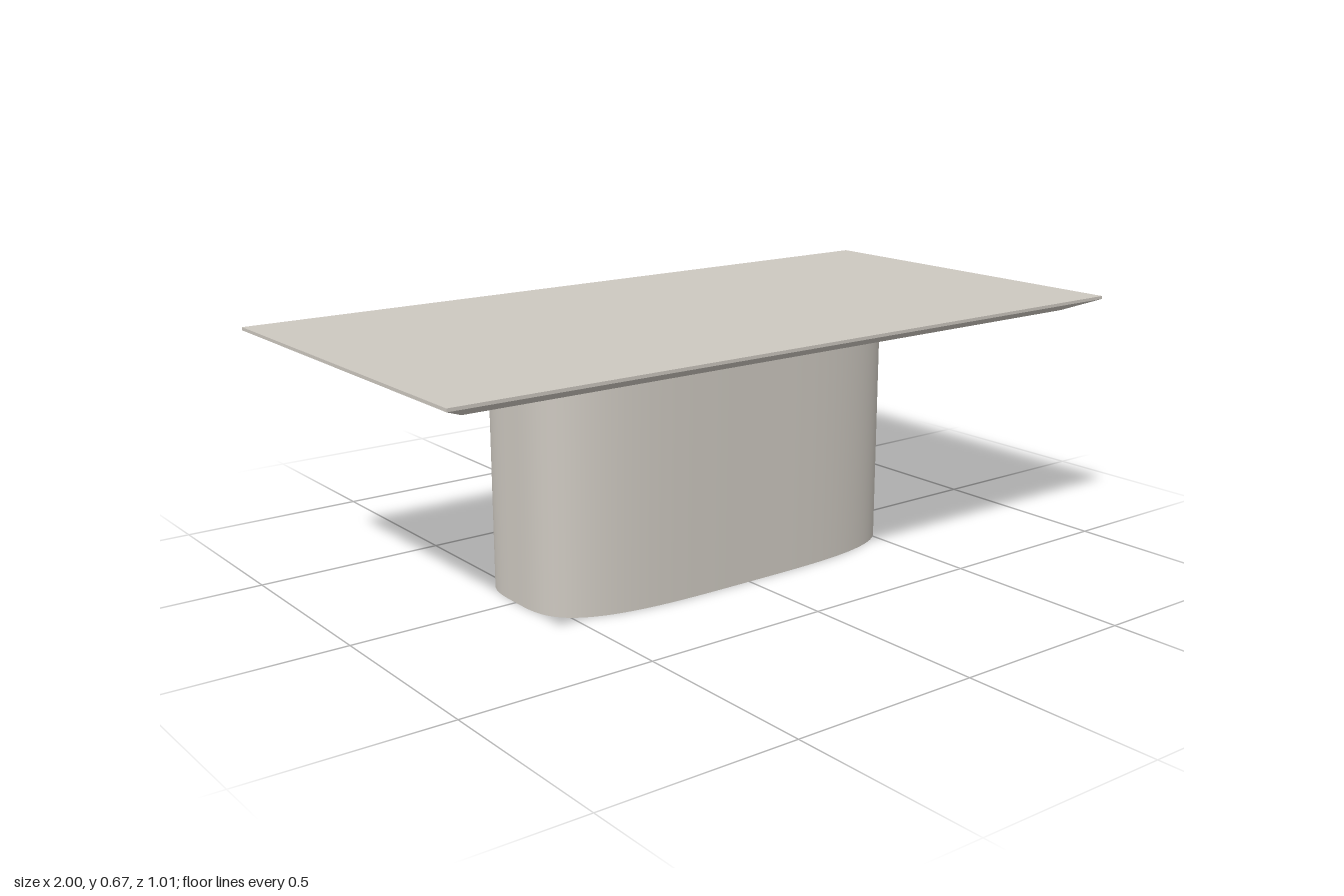
import * as THREE from 'three';

const TOP = 0.668, LIP = 0.66, UNDER = 0.627;

// Rectangular slab: thin upright lip, then a bevel running in to a smaller underside
function tabletopGeometry() {
  const geo = new THREE.BoxGeometry(2, 2, 1.01, 1, 2, 1);
  const p = geo.attributes.position;
  for (let i = 0; i < p.count; i++) {
    const level = Math.round(p.getY(i));
    if (level < 0) {
      p.setX(i, Math.sign(p.getX(i)) * 0.925);
      p.setZ(i, Math.sign(p.getZ(i)) * 0.43);
    }
    p.setY(i, level > 0 ? TOP : level === 0 ? LIP : UNDER);
  }
  const flat = geo.toNonIndexed();
  flat.computeVertexNormals();
  return flat;
}

// Upright column with a superellipse plan
function pedestalGeometry(halfWidth, halfDepth, height, power) {
  const geo = new THREE.CylinderGeometry(1, 1, height, 128, 1);
  const p = geo.attributes.position;
  for (let i = 0; i < p.count; i++) {
    const x = p.getX(i), z = p.getZ(i);
    if (Math.hypot(x, z) < 0.5) continue; // cap centres stay put
    const r = (Math.abs(x) ** power + Math.abs(z) ** power) ** (-1 / power);
    p.setX(i, x * r * halfWidth);
    p.setZ(i, z * r * halfDepth);
  }
  geo.translate(0, height / 2, 0);
  geo.computeVertexNormals();
  return geo;
}

export function createModel() {
  const stone = new THREE.MeshStandardMaterial({ color: 0xcdc8c0 });
  stone.name = 'warm grey stone';

  const tabletop = new THREE.Mesh(tabletopGeometry(), stone);
  tabletop.name = 'tabletop';

  const pedestal = new THREE.Mesh(pedestalGeometry(0.553, 0.238, UNDER, 3.5), stone);
  pedestal.name = 'pedestal';

  const table = new THREE.Group();
  table.name = 'table';
  table.add(tabletop, pedestal);
  return table;
}
